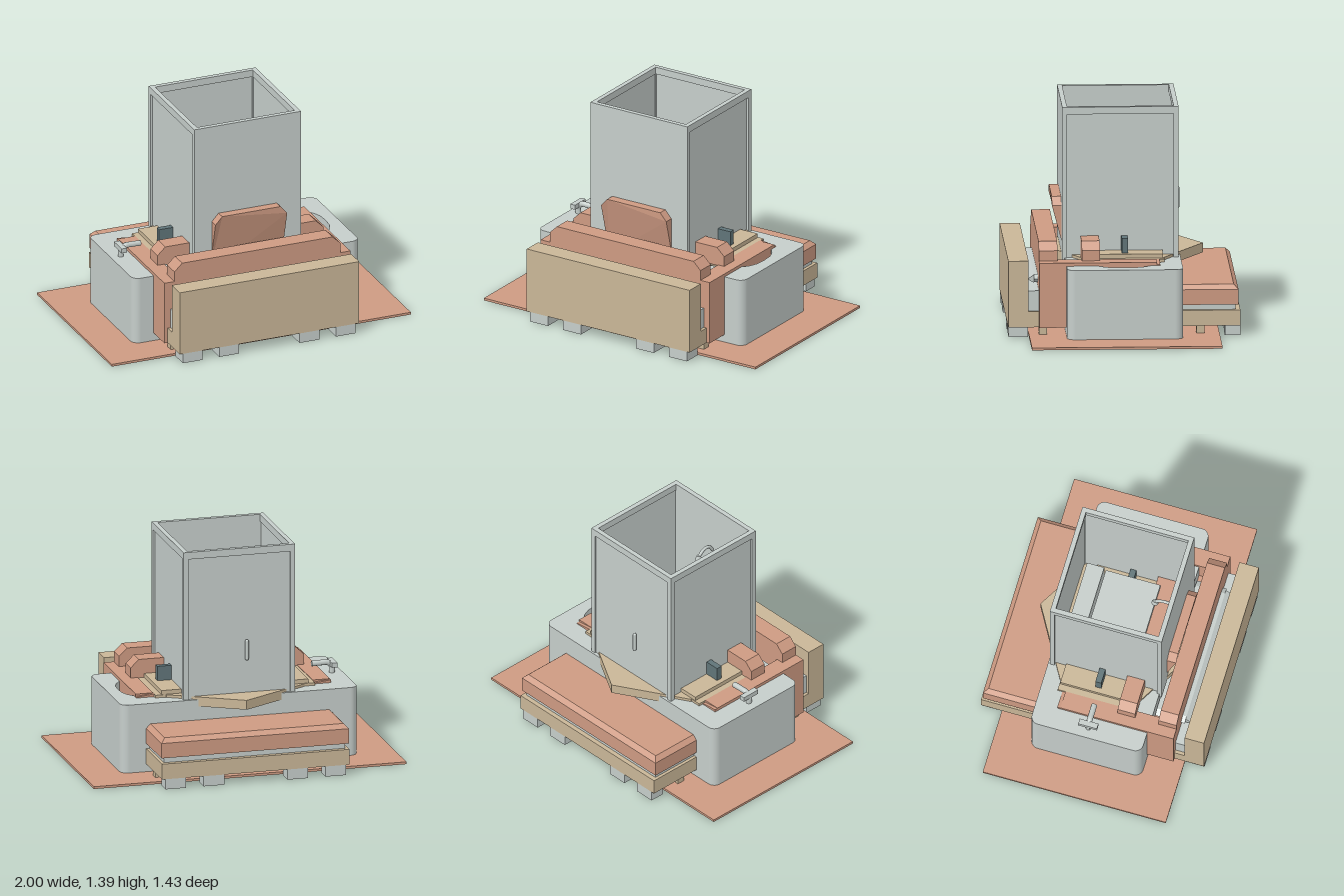
import * as THREE from 'three';

const mat = (name, color) => {
  const m = new THREE.MeshStandardMaterial({ color, side: THREE.DoubleSide });
  m.name = name;
  return m;
};

export function createModel() {
  const root = new THREE.Group();
  const gray = mat('pale gray', 0xc5cdca);
  const salmon = mat('salmon', 0xcd9a82);
  const tan = mat('tan', 0xc9b697);
  const slate = mat('slate', 0x607478);

  const add = (name, geometry, material) => {
    const m = new THREE.Mesh(geometry, material);
    m.name = name;
    root.add(m);
    return m;
  };
  // Box given by its limits on each axis
  const box = (name, material, x0, x1, y0, y1, z0, z1) => {
    const g = new THREE.BoxGeometry(x1 - x0, y1 - y0, z1 - z0);
    g.translate((x0 + x1) / 2, (y0 + y1) / 2, (z0 + z1) / 2);
    return add(name, g, material);
  };
  const shapeOf = (pts) => new THREE.Shape(pts.map(([a, b]) => new THREE.Vector2(a, b)));
  // Outline in x,y extruded from z0 to z1
  const prismZ = (name, material, pts, z0, z1) => {
    const g = new THREE.ExtrudeGeometry(shapeOf(pts), { depth: z1 - z0, bevelEnabled: false });
    return add(name, g.translate(0, 0, z0), material);
  };
  // Box whose vertices above the middle are drawn inwards
  const chamferTop = (name, material, x, y0, y1, z0, z1, c) => {
    const s = new THREE.Shape();
    s.moveTo(-x + c, z0 + c).lineTo(x - c, z0 + c).lineTo(x - c, z1 - c).lineTo(-x + c, z1 - c);
    const g = new THREE.ExtrudeGeometry(s, {
      depth: y1 - y0 - c, bevelEnabled: true, bevelSegments: 1, bevelSize: c, bevelThickness: c,
    });
    // the lower bevel is pushed straight down into a flat base
    g.rotateX(Math.PI / 2).translate(0, y1 - c, 0);
    const p = g.attributes.position;
    for (let i = 0; i < p.count; i++) if (p.getY(i) < y0) p.setY(i, y0);
    g.computeVertexNormals();
    return add(name, g, material);
  };

  // Rug
  box('rug', salmon, -1, 1, 0, 0.015, -0.587, 0.587);

  // Bathtub with rounded corners and a hollow basin
  const X = 0.757, Z = 0.357, R = 0.05;
  const tub = new THREE.Shape();
  tub.moveTo(-X + R, -Z).lineTo(X - R, -Z).absarc(X - R, -Z + R, R, -Math.PI / 2, 0);
  tub.lineTo(X, Z - R).absarc(X - R, Z - R, R, 0, Math.PI / 2);
  tub.lineTo(-X + R, Z).absarc(-X + R, Z - R, R, Math.PI / 2, Math.PI);
  tub.lineTo(-X, -Z + R).absarc(-X + R, -Z + R, R, Math.PI, Math.PI * 1.5);
  const basin = [];
  for (let i = 0; i < 40; i++) {
    const a = -i / 40 * Math.PI * 2, c = Math.cos(a), s = Math.sin(a);
    const pow = (v) => Math.sign(v) * Math.abs(v) ** 0.75;
    basin.push(new THREE.Vector2(0.04 + 0.64 * pow(c), 0.29 * pow(s)));
  }
  tub.holes.push(new THREE.Path(basin));
  const tubGeo = new THREE.ExtrudeGeometry(tub, { depth: 0.435, bevelEnabled: false, curveSegments: 6 });
  add('bathtub', tubGeo.rotateX(-Math.PI / 2).translate(0, 0.015, 0), gray);
  box('bathtubFloor', gray, -0.7, 0.7, 0.016, 0.1, -0.32, 0.32);

  // Tub tap
  const tapPath = new THREE.CatmullRomCurve3([[-0.69, 0.44], [-0.69, 0.49], [-0.665, 0.515], [-0.62, 0.517], [-0.56, 0.515]]
    .map(([x, y]) => new THREE.Vector3(x, y, 0)));
  add('tap', new THREE.TubeGeometry(tapPath, 16, 0.018, 8), gray);
  box('tapHandle', gray, -0.71, -0.675, 0.495, 0.525, -0.06, 0.06);

  // Bed: frame, headboard, mattress, blanket, pillow and feet
  box('bedFrame', tan, -0.6, 0.6, 0.065, 0.163, -0.715, 0.59);
  box('headboard', tan, -0.6, 0.6, 0.065, 0.48, 0.59, 0.715);
  box('mattress', gray, -0.58, 0.58, 0.163, 0.29, -0.685, 0.59);
  chamferTop('blanket', salmon, 0.6, 0.197, 0.32, -0.703, 0.3, 0.028);
  prismZ('pillow', gray, [[-0.46, 0.34], [-0.42, 0.312], [0.42, 0.312], [0.46, 0.34], [0.42, 0.362], [-0.42, 0.362]], 0.36, 0.55);
  const tip = new THREE.ExtrudeGeometry(shapeOf([[0.55, 0.312], [0.59, 0.335], [0.55, 0.362]]), { depth: 0.88, bevelEnabled: false });
  add('pillowEdge', tip.rotateY(-Math.PI / 2).translate(0.44, 0, 0), gray);
  for (const s of [-1, 1]) for (const x of [0.268, 0.512]) {
    box('bedFoot', gray, s * x - 0.066, s * x + 0.066, 0, 0.065, 0.592, 0.712);
    box('bedFoot', gray, s * x - 0.066, s * x + 0.066, 0, 0.065, -0.715, -0.62);
  }

  // Sofa: arms, seat, two chamfered bolsters and legs
  for (const s of [-1, 1]) {
    const [a, b] = s > 0 ? [0.51, 0.622] : [-0.622, -0.51];
    box('sofaArm', salmon, a, b, 0.065, 0.47, -0.2, 0.525);
    prismZ('sofaArmEnd', salmon, [[a, 0.44], [b, 0.44], [b, 0.455], [a, 0.468]], -0.22, -0.2);
    for (const z of [0.5, -0.47])
      box('sofaLeg', tan, s * 0.555 - 0.025, s * 0.555 + 0.025, 0.005, 0.065, z - 0.025, z + 0.025);
  }
  box('sofaBack', salmon, -0.51, 0.51, 0.065, 0.47, 0.41, 0.525);
  box('sofaSeat', salmon, -0.51, 0.51, 0.1, 0.3, -0.2, 0.41);
  const bolster = [[-0.555, 0.465], [0.555, 0.465], [0.555, 0.535], [0.503, 0.585], [-0.503, 0.585], [-0.555, 0.535]];
  prismZ('bolster', salmon, bolster, 0.41, 0.525);
  prismZ('bolster', salmon, bolster, 0.148, 0.26);

  // Leaning chair back with clipped top corners
  const backGeo = new THREE.ExtrudeGeometry(
    shapeOf([[-0.24, 0.4], [0.24, 0.4], [0.24, 0.755], [0.195, 0.805], [-0.195, 0.805], [-0.24, 0.755]]),
    { depth: 0.12, bevelEnabled: false });
  const bp = backGeo.attributes.position;
  for (let i = 0; i < bp.count; i++)
    bp.setZ(i, bp.getZ(i) + 0.31 - Math.max(0, 0.755 - bp.getY(i)) * 0.267);
  backGeo.computeVertexNormals();
  add('chairBack', backGeo, salmon);

  // Hexagonal table and low bench
  const hex = new THREE.CylinderGeometry(0.51, 0.51, 0.06, 6).toNonIndexed();
  hex.computeVertexNormals();
  add('hexagonTable', hex.translate(0, 0.437, 0), tan);
  box('benchBase', tan, -0.51, 0.51, 0.44, 0.467, -0.25, 0.15);
  box('benchTop', tan, -0.47, 0.47, 0.465, 0.493, -0.245, 0.15);
  box('benchRail', slate, -0.437, 0.435, 0.49, 0.585, -0.03, 0.008);

  // Shower cabin: posts, rails, inset panes and solid front
  const W = 0.357, T = 0.03, B = -0.345, F = 0.372, H = 1.395;
  box('showerFront', gray, -W, W, 0.4, H, F - T, F);
  for (const s of [-1, 1]) {
    const [a, b] = s > 0 ? [W - T, W] : [-W, -W + T];
    box('showerPost', gray, a, b, 0.4, H, B, B + T);
    box('showerSideRail', gray, a, b, H - 0.045, H, B + T, F - T);
    box('showerSidePane', gray, s * 0.338 - 0.005, s * 0.338 + 0.005, 0.4, H - 0.045, B + T, F - T);
  }
  box('showerBackRail', gray, -W + T, W - T, H - 0.045, H, B, B + T);
  box('showerDoor', gray, -W + T, W - T, 0.4, H - 0.045, B + 0.01, B + 0.02);
  const handle = new THREE.CapsuleGeometry(0.012, 0.11, 4, 8).translate(-0.045, 0.745, B - 0.013);
  add('showerDoorHandle', handle, gray);

  // Shower head on the front wall
  const arm = new THREE.CatmullRomCurve3([[1.07, 0.345], [1.11, 0.31], [1.11, 0.27], [1.08, 0.23]]
    .map(([y, z]) => new THREE.Vector3(0, y, z)));
  add('showerArm', new THREE.TubeGeometry(arm, 12, 0.01, 8), gray);
  add('showerHead', new THREE.CylinderGeometry(0.012, 0.022, 0.03, 12).translate(0, 1.07, 0.225), gray);

  // Washstand standing inside the cabin
  box('washstand', gray, -0.27, 0.27, 0.45, 0.62, -0.17, 0.18);
  box('washstandBack', gray, -0.27, 0.27, 0.45, 0.66, -0.29, -0.18);
  box('washstandShelf', gray, -0.24, 0.24, 0.45, 0.55, 0.18, 0.245);
  return root;
}
